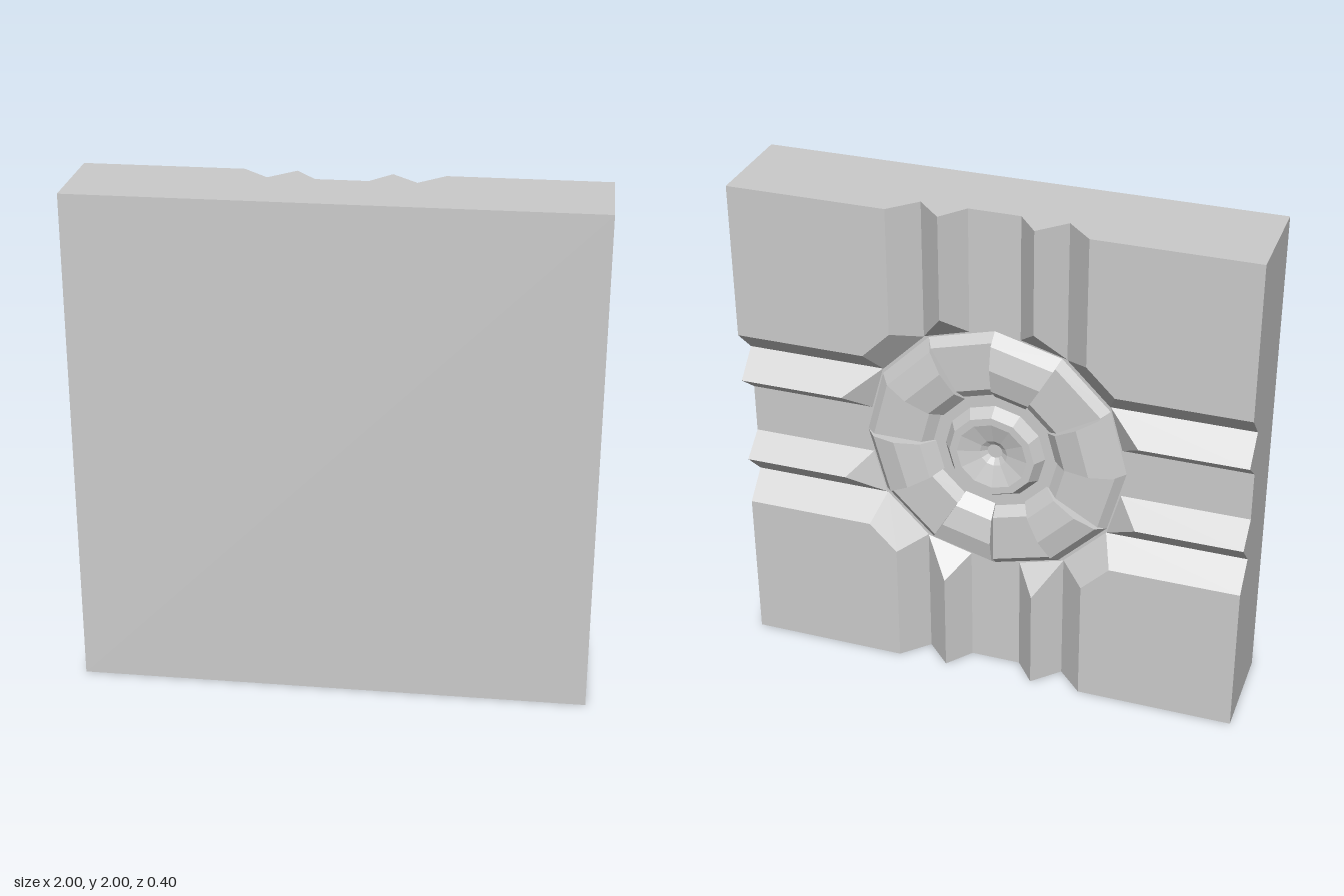
import * as THREE from 'three';
import { ConvexGeometry } from 'three/addons/geometries/ConvexGeometry.js';

const BACK = -0.2;   // z of the carved face
const FLOOR = 0.1;   // depth of the carving

export function createModel() {
  const model = new THREE.Group();
  model.name = 'carvedTile';
  const carving = new THREE.Group();
  carving.name = 'carving';
  carving.position.y = 1;
  model.add(carving);

  const material = new THREE.MeshStandardMaterial({ color: 0xcccccc, flatShading: true });
  const add = (geometry, name) => {
    const mesh = new THREE.Mesh(geometry, material);
    mesh.name = name;
    carving.add(mesh);
    return mesh;
  };
  // Convex block from [x, y, depth below the carved face]
  const block = (points, name) =>
    add(new ConvexGeometry(points.map(([x, y, d]) => new THREE.Vector3(x, y, BACK + d))), name);

  // Solid slab up to the groove floor
  add(new THREE.BoxGeometry(2, 2, 0.3), 'slab').position.z = 0.05;

  // Raised corner plates with sloped, chamfered inner sides
  const outline = (edge, cut, d) => [
    [edge, 1, d], [edge, cut, d], [cut, edge, d], [1, edge, d], [1, 1, d],
  ];
  for (const sx of [-1, 1]) for (const sy of [-1, 1]) {
    const points = [...outline(0.38, 0.49, 0), ...outline(0.28, 0.448, FLOOR)];
    block(points.map(([x, y, d]) => [x * sx, y * sy, d]), 'cornerPlate');
  }

  // Sharp ridges, two along each arm of the cross
  const ridge = [
    [0.1, 1, FLOOR], [0.18, 1, 0], [0.28, 1, FLOOR],
    [0.1, 0.5, FLOOR], [0.18, 0.585, 0], [0.28, 0.45, FLOOR],
  ];
  for (let arm = 0; arm < 4; arm++) for (const side of [-1, 1]) {
    const c = Math.round(Math.cos(arm * Math.PI / 2));
    const s = Math.round(Math.sin(arm * Math.PI / 2));
    block(ridge.map(([x, y, d]) => [x * side * c - y * s, x * side * s + y * c, d]), 'ridge');
  }

  // Ring of twelve blocks, alternately low and tall: [radius, depth]
  const low = [[0.52, FLOOR], [0.485, 0.07], [0.29, 0.07], [0.25, FLOOR]];
  const tall = [[0.52, FLOOR], [0.48, 0.05], [0.39, 0.03], [0.29, 0.05], [0.24, FLOOR]];
  for (let i = 0; i < 12; i++) {
    const points = [];
    for (const a of [i * Math.PI / 6, (i + 1) * Math.PI / 6]) {
      for (const [r, d] of i % 2 ? tall : low) points.push([r * Math.cos(a), r * Math.sin(a), d]);
    }
    block(points, 'ringBlock');
  }

  // Dished hub with a small central pit
  const hub = [[0.2, FLOOR], [0.17, 0.055], [0.14, 0.055], [0.055, 0.08], [0.03, 0.098], [0, 0.098]];
  const lathe = new THREE.LatheGeometry(hub.map(([r, d]) => new THREE.Vector2(r, -BACK - d)), 12);
  lathe.rotateX(-Math.PI / 2);
  add(lathe, 'hub');

  return model;
}
